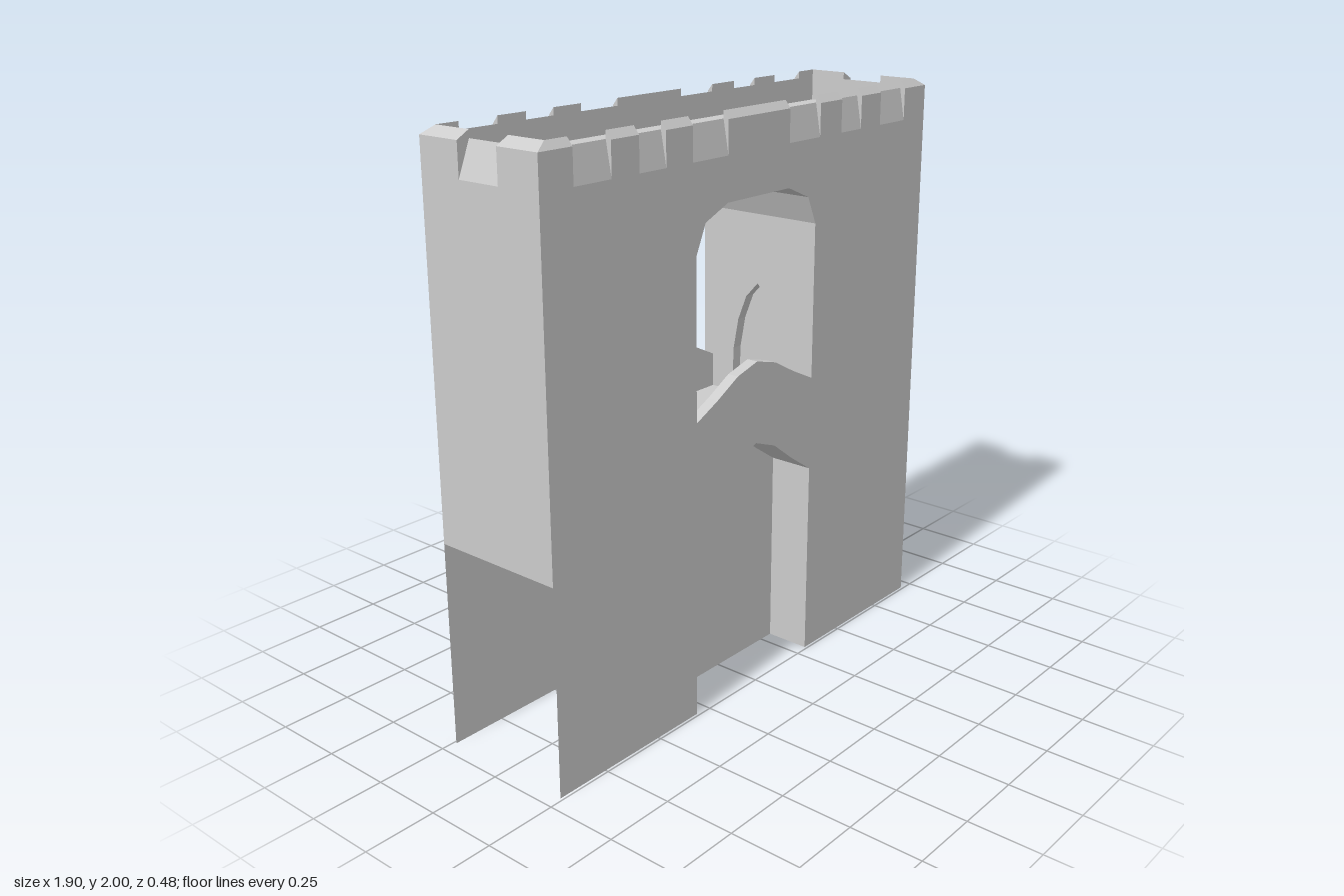
import * as THREE from 'three';

const material = new THREE.MeshStandardMaterial({ color: 0xcccccc, flatShading: true, side: THREE.DoubleSide });

// Main dimensions
const W = 0.95, D = 0.24;        // half width and half depth
const WI = 0.905, DI = 0.22;     // inner faces of the parapet
const DECK = 1.89, FLOOR = 0.92, SIDE_BOTTOM = 0.71;
const OPEN = 0.305;              // half width of window and gate
const NICHE_Z = 0.08, SILL_Z = 0.2;

function mesh(name, geometry, parent) {
  const m = new THREE.Mesh(geometry, material);
  m.name = name;
  parent.add(m);
  return m;
}

// Flat sheet from an outline, at depth z
function sheet(name, outline, z, parent, hole) {
  const toVec = ([x, y]) => new THREE.Vector2(x, y);
  const shape = new THREE.Shape(outline.map(toVec));
  if (hole) shape.holes.push(new THREE.Path(hole.map(toVec)));
  mesh(name, new THREE.ShapeGeometry(shape), parent).position.z = z;
}

// Ribbon of quads between polyline a at depth za and polyline b at depth zb
function strip(name, a, za, b, zb, parent) {
  const pos = [];
  for (let i = 0; i < a.length - 1; i++) {
    const p = [...a[i], za], q = [...a[i + 1], za], r = [...b[i + 1], zb], s = [...b[i], zb];
    pos.push(...p, ...s, ...r, ...p, ...r, ...q);
  }
  const g = new THREE.BufferGeometry();
  g.setAttribute('position', new THREE.Float32BufferAttribute(pos, 3));
  g.computeVertexNormals();
  mesh(name, g, parent);
}

// Complete a left half (ending at or before the centre) by mirroring
const mirror = half => [
  ...half,
  ...half.filter(([x]) => x !== 0).reverse().map(([x, y]) => [-x, y]),
];

// Battlement top line, left to right, with notches between the given x pairs
function crenels(end, gaps, high, low) {
  const pts = [[-end, high]];
  for (const [a, b] of gaps) pts.push([a, high], [a, low], [b, low], [b, high]);
  return [...pts, [end, high]];
}

// Sloping battlements with an inner face down to the deck
function battlement(outer, inner, zo, zi, end, parent) {
  strip('battlementTop', outer, zo, inner, zi, parent);
  sheet('parapetInside', [[-end, DECK], [end, DECK], ...[...inner].reverse()], zi, parent);
}

const leftGaps = [[-0.82, -0.67], [-0.555, -0.44], [-0.32, -0.155]];
const frontGaps = [...leftGaps, ...[...leftGaps].reverse().map(([a, b]) => [-b, -a])];
const sideGaps = [[-0.08, 0.08]];

const gateArch = mirror([[-OPEN, 0], [-OPEN, 0.705], [-0.2, 0.775], [-0.1, 0.85], [0, 0.887]]);
const windowTop = mirror([[-OPEN, 1.58], [-0.262, 1.675], [-0.155, 1.72]]);
const sillTop = mirror([[-OPEN, 1.04], [-0.2, 1.09], [-0.1, 1.145], [0, 1.172]]);
const doorArch = mirror([[-0.11, FLOOR], [-0.105, 1.08], [-0.085, 1.19], [-0.05, 1.28], [0, 1.335]]);

// Wall with gate recess, window opening and curved sill
function gateWall() {
  const g = new THREE.Group();
  g.name = 'gateWall';
  const outer = crenels(W, frontGaps, 1.975, 1.865);
  const inner = crenels(WI, frontGaps, 2, 1.975);
  sheet('wallFace', [[-W, 0], ...gateArch, [W, 0], ...[...outer].reverse()], D, g,
    [...sillTop, ...[...windowTop].reverse()]);
  battlement(outer, inner, D, DI, WI, g);

  strip('gateRecess', gateArch, D, gateArch, NICHE_Z, g);
  sheet('gatePanel', gateArch, NICHE_Z, g);

  strip('windowSill', sillTop, D, sillTop, SILL_Z, g);
  sheet('sillInside', [[-OPEN, FLOOR], [OPEN, FLOOR], ...[...sillTop].reverse()], SILL_Z, g);
  return g;
}

// End wall, open below, and the jamb of the passage with its pointed door
function endWall() {
  const g = new THREE.Group();
  g.name = 'endWall';
  const outer = crenels(D, sideGaps, 1.975, 1.865);
  const inner = crenels(DI, sideGaps, 2, 1.975);
  sheet('endFace', [[-D, SIDE_BOTTOM], [D, SIDE_BOTTOM], ...[...outer].reverse()], W, g);
  battlement(outer, inner, W, WI, DI, g);

  sheet('passageJamb', [[-D, FLOOR], ...doorArch, [D, FLOOR], [D, 1.58], [-D, 1.58]], OPEN, g);
  strip('doorRecess', doorArch, OPEN, doorArch, OPEN + 0.04, g);
  sheet('doorPanel', doorArch, OPEN + 0.04, g);
  return g;
}

// Horizontal sheet
function slab(name, halfX, halfZ, y, parent) {
  const geo = new THREE.PlaneGeometry(halfX * 2, halfZ * 2).rotateX(-Math.PI / 2);
  mesh(name, geo, parent).position.y = y;
}

export function createModel() {
  const model = new THREE.Group();
  model.name = 'gatehouse';

  // Two gate walls and two end walls, each pair turned half round
  for (const turn of [0, Math.PI]) {
    const wall = gateWall();
    wall.rotation.y = turn;
    const end = endWall();
    end.rotation.y = turn + Math.PI / 2;
    model.add(wall, end);
  }

  // Passage vault, passage floor and roof deck
  strip('passageVault', windowTop, D, windowTop, -D, model);
  slab('passageFloor', OPEN, SILL_Z, FLOOR, model);
  slab('roofDeck', WI, DI, DECK, model);
  return model;
}
